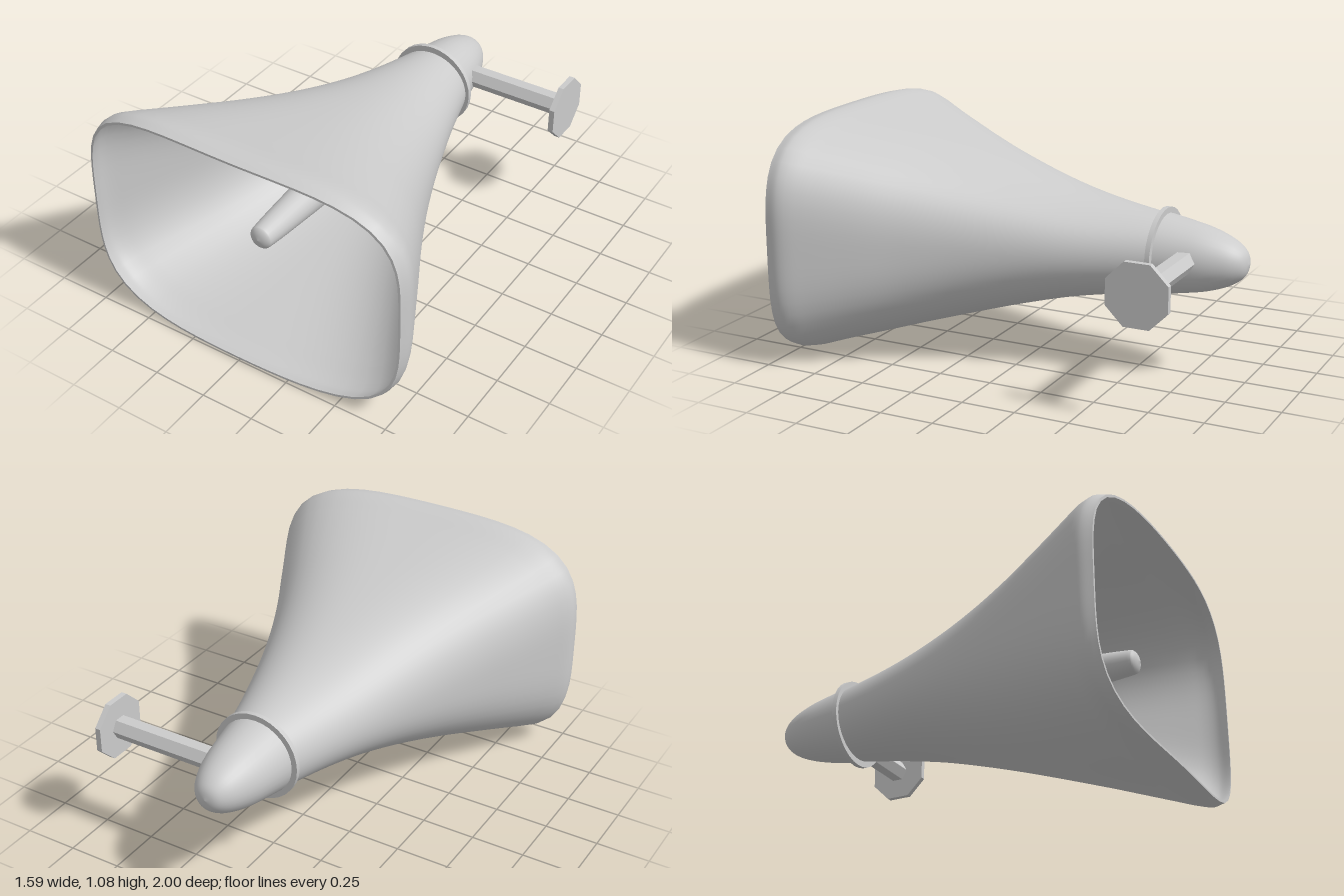
import * as THREE from 'three';

const AXIS_Y = 0.54;
const SIDES = 64;
const material = new THREE.MeshStandardMaterial({ color: 0xcccccc, side: THREE.DoubleSide });
const flatMaterial = new THREE.MeshStandardMaterial({ color: 0xcccccc, flatShading: true });

// Horn outline from throat to mouth: [half width, half height, z]
const OUTLINE = [
  [0.185, 0.175, -0.61], [0.245, 0.207, -0.4], [0.31, 0.245, -0.2], [0.38, 0.296, 0],
  [0.46, 0.352, 0.2], [0.552, 0.408, 0.4], [0.652, 0.462, 0.6], [0.745, 0.513, 0.8],
  [0.785, 0.537, 0.9], [0.793, 0.541, 0.95], [0.785, 0.531, 1],
];

// One rounded-rectangle ring; elliptical at the throat, with the mouth's sides swept back
function ring(a, b, z) {
  const t = THREE.MathUtils.clamp((z + 0.6) / 1.55, 0, 1);
  const n = 2 + 1.85 * t ** 2.5;
  const sweep = 0.05 * THREE.MathUtils.clamp((z - 0.2) / 0.75, 0, 1) ** 2;
  const points = [];
  for (let j = 0; j < SIDES; j++) {
    const angle = (j / SIDES) * Math.PI * 2;
    const c = Math.cos(angle), s = Math.sin(angle);
    const r = (Math.abs(c) ** n + Math.abs(s) ** n) ** (-1 / n);
    points.push(a * r * c, b * r * s, z - sweep * ((a * r * c) / 0.79) ** 2);
  }
  return points;
}

// Skin over successive rings
function loft(sections) {
  const positions = sections.flatMap(([a, b, z]) => ring(a, b, z));
  const index = [];
  for (let i = 0; i < sections.length - 1; i++) {
    for (let j = 0; j < SIDES; j++) {
      const k = (j + 1) % SIDES;
      const p = i * SIDES + j, q = i * SIDES + k;
      index.push(p, q, p + SIDES, q, q + SIDES, p + SIDES);
    }
  }
  const geometry = new THREE.BufferGeometry();
  geometry.setAttribute('position', new THREE.Float32BufferAttribute(positions, 3));
  geometry.setIndex(index);
  geometry.computeVertexNormals();
  return geometry;
}

// Round part about the z axis from [radius, z] points, listed back to front
function turned(points, segments = 32) {
  const curve = new THREE.SplineCurve(points.map(([r, z]) => new THREE.Vector2(r, z)));
  const profile = curve.getPoints(32).map((p) => p.setX(Math.max(p.x, 0)));
  return new THREE.LatheGeometry(profile, segments).rotateX(Math.PI / 2);
}

export function createModel() {
  const model = new THREE.Group();
  model.name = 'hornLoudspeaker';

  function add(name, geometry, mat = material, x = 0, y = AXIS_Y, z = 0) {
    const mesh = new THREE.Mesh(geometry, mat);
    mesh.name = name;
    mesh.position.set(x, y, z);
    model.add(mesh);
  }

  // Flared horn: outer skin, thin lip, and inner skin closing onto the plug at the throat
  const curve = new THREE.CatmullRomCurve3(OUTLINE.map((p) => new THREE.Vector3(...p)));
  const outer = curve.getPoints(50).map((p) => [p.x, p.y, p.z]);
  const inner = outer.filter((p) => p[2] > -0.37).map(([a, b, z]) => [a - 0.01, b - 0.01, z]).reverse();
  inner.push([0.22, 0.19, -0.42], [0.18, 0.168, -0.452], [0.14, 0.14, -0.465]);
  add('hornOuter', loft(outer));
  add('hornLip', loft([outer[outer.length - 1], inner[0]]));
  add('hornInner', loft(inner));

  // Collar where the driver housing meets the horn
  add('collar', new THREE.CylinderGeometry(0.207, 0.207, 0.022, 32).rotateX(Math.PI / 2),
    material, 0, AXIS_Y, -0.608);

  // Domed driver housing at the back
  add('driverHousing', turned([
    [0, -1], [0.04, -0.991], [0.07, -0.97], [0.099, -0.93], [0.125, -0.87],
    [0.146, -0.8], [0.164, -0.71], [0.182, -0.61],
  ]));

  // Tapered plug along the horn's axis, flaring where it meets the throat
  add('centrePlug', turned([
    [0.165, -0.465], [0.145, -0.42], [0.134, -0.33], [0.118, -0.12], [0.098, 0.12],
    [0.076, 0.5], [0.058, 0.76], [0.045, 0.81], [0, 0.825],
  ], 24), material, 0, 0.547, 0);

  // Mounting arm and octagonal wall plate on the left side
  add('mountingArm', new THREE.CylinderGeometry(0.052, 0.052, 0.51, 6).rotateZ(-Math.PI / 2),
    flatMaterial, 0.375, 0.555, -0.752);
  add('wallPlate',
    new THREE.CylinderGeometry(0.149, 0.149, 0.026, 8).rotateY(Math.PI / 8).rotateZ(-Math.PI / 2),
    flatMaterial, 0.637, 0.555, -0.75);

  return model;
}
